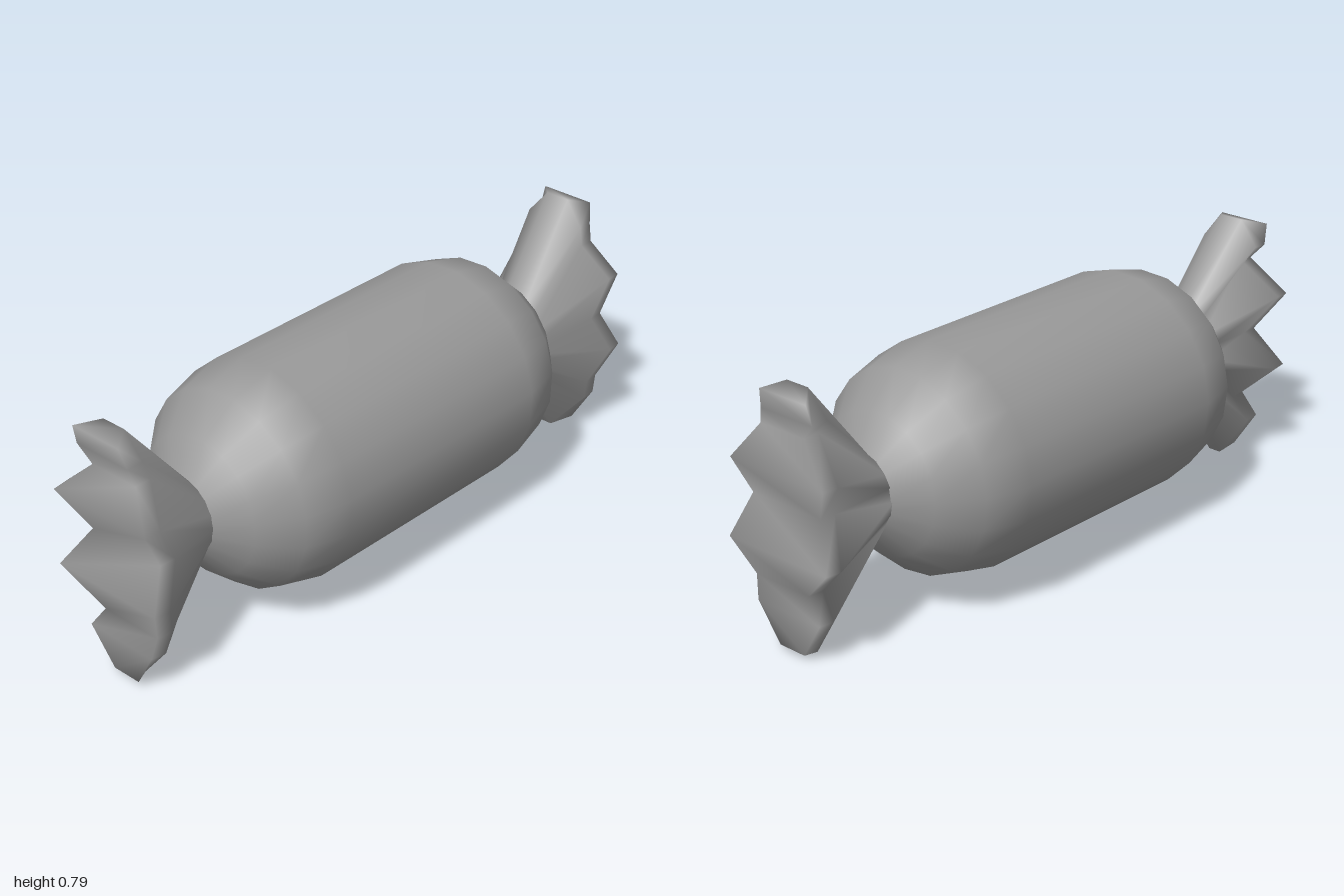
import * as THREE from 'three';

const CENTER_Y = 0.41;
const NECK_X = 0.69, NECK_R = 0.112;

// Rows across the pleated end, top to bottom: [y, x, front z, back z]
const ROWS = [
  [0.778, 0.98, 0.075, -0.1],
  [0.715, 0.965, 0.09, -0.105],
  [0.665, 0.955, 0.105, -0.06],
  [0.56, 1.0, 0.182, -0.172],
  [0.44, 0.94, 0.167, -0.095],
  [0.32, 1.0, 0.203, -0.172],
  [0.205, 0.953, 0.155, -0.05],
  [0.135, 0.965, 0.14, -0.1],
  [0.018, 0.955, 0.07, -0.025],
];

// Twisted wrapper end: neck ring, rear rim ring, front rim ring, pleated cap
function wrapperEndGeometry(side) {
  const n = ROWS.length, count = 2 * n;
  const rim = [
    ...ROWS.map(([y, x, z]) => [x, y, z]),
    ...ROWS.map(([y, x, , z]) => [x, y, z]).reverse(),
  ];
  const neck = rim.map((p, j) => {
    const a = ((j + 0.5) / count) * Math.PI * 2;
    return [NECK_X, CENTER_Y + NECK_R * Math.cos(a), NECK_R * Math.sin(a)];
  });
  const rear = rim.map(([x, y, z], j) => {
    const tip = j % n === 0 || j % n === n - 1;
    return [
      x - (tip ? 0.06 : 0.05),
      CENTER_Y + (y - CENTER_Y) * (tip ? 1.045 : 1.01),
      z * (tip ? 0.45 : 1.03),
    ];
  });
  const positions = [...neck, ...rear, ...rim].flatMap(([x, y, z]) => [x * side, y, z]);

  const index = [];
  const quad = (a, b, c, d) =>
    side > 0 ? index.push(a, b, c, a, c, d) : index.push(a, c, b, a, d, c);
  for (let ring = 0; ring < 2; ring++) {
    for (let j = 0; j < count; j++) {
      const k = (j + 1) % count, lo = ring * count, hi = lo + count;
      quad(hi + j, lo + j, lo + k, hi + k);
    }
  }
  // Cap folds run across from the front edge to the back edge
  const r = 2 * count;
  for (let i = 0; i < n - 1; i++) {
    quad(r + i, r + i + 1, r + count - 2 - i, r + count - 1 - i);
  }

  const geo = new THREE.BufferGeometry();
  geo.setAttribute('position', new THREE.Float32BufferAttribute(positions, 3));
  geo.setIndex(index);
  geo.computeVertexNormals();
  return geo;
}

// Rounded barrel turned around the x axis
function bodyGeometry() {
  const half = [[0.39, 0.341], [0.53, 0.305], [0.635, 0.213], [0.7, 0.11]];
  const profile = [
    ...half.map(([x, r]) => new THREE.Vector2(r, -x)).reverse(),
    ...half.map(([x, r]) => new THREE.Vector2(r, x)),
  ];
  const geo = new THREE.LatheGeometry(profile, 19, THREE.MathUtils.degToRad(-7.5));
  geo.rotateZ(-Math.PI / 2);
  geo.translate(0, CENTER_Y, 0);
  return geo;
}

export function createModel() {
  const group = new THREE.Group();
  group.name = 'wrappedCandy';
  const material = new THREE.MeshStandardMaterial({ color: 0x999999 });
  const add = (name, geometry) => {
    const mesh = new THREE.Mesh(geometry, material);
    mesh.name = name;
    group.add(mesh);
  };
  add('body', bodyGeometry());
  add('leftWrapperEnd', wrapperEndGeometry(1));
  add('rightWrapperEnd', wrapperEndGeometry(-1));
  return group;
}
